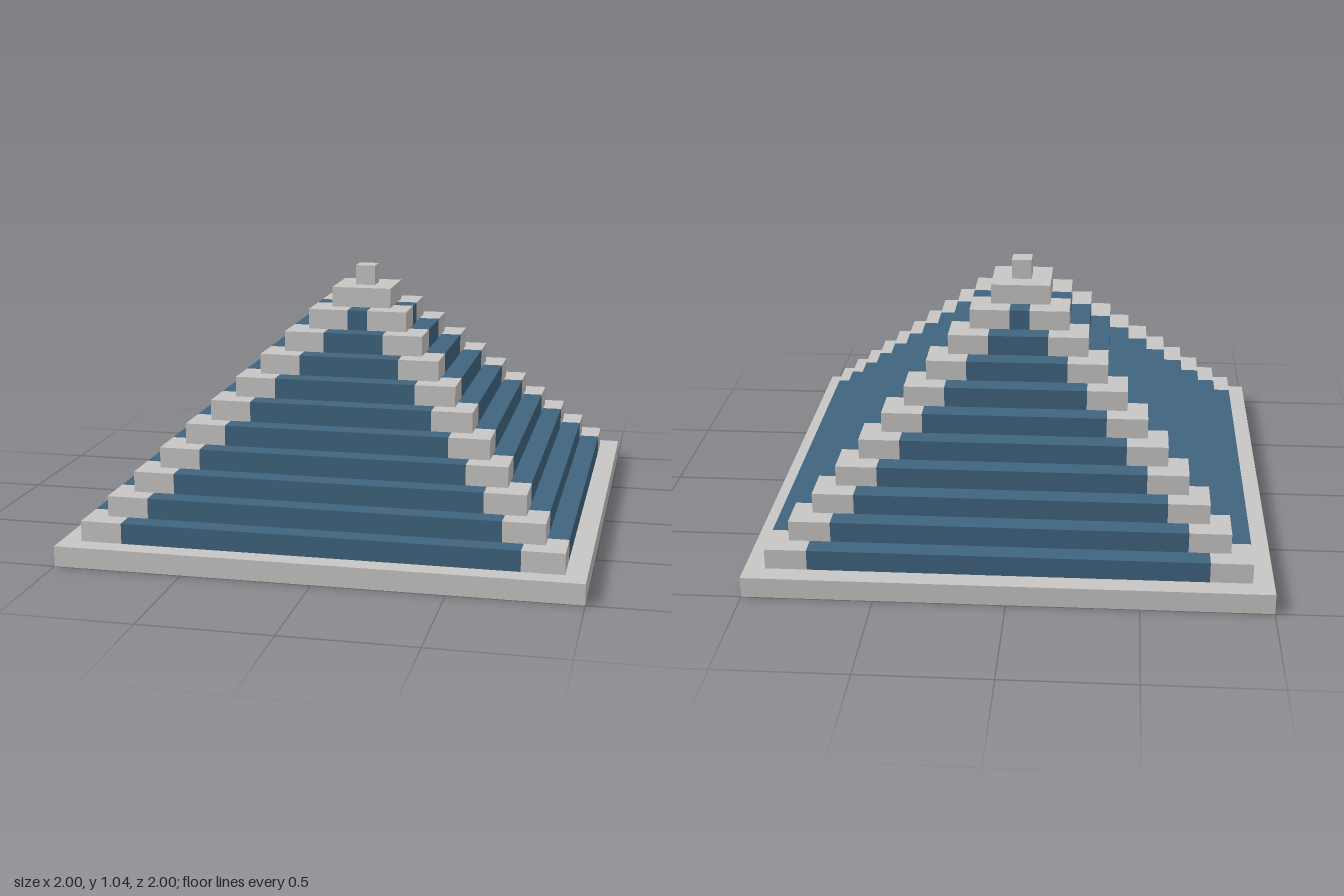
import * as THREE from 'three';

const U = 0.08;          // one block: step height and step depth
const LAYERS = 13;
const CORNER = 2 * U;    // width of the stone corner blocks

const stone = new THREE.MeshStandardMaterial({ color: 0xc8c6c4 });
stone.name = 'pale stone';
const tile = new THREE.MeshStandardMaterial({ color: 0x40647f });
tile.name = 'blue tile';

function box(name, w, d, x, z, material) {
  const mesh = new THREE.Mesh(new THREE.BoxGeometry(w, U, d), material);
  mesh.name = name;
  mesh.position.set(x, U / 2, z);
  return mesh;
}

export function createModel() {
  const model = new THREE.Group();
  model.name = 'steppedPyramid';

  for (let i = 0; i < LAYERS; i++) {
    const half = 1 - i * U;
    const layer = new THREE.Group();
    layer.position.y = i * U;
    model.add(layer);

    // Solid stone base slab, cap slab and finial
    if (i === 0 || i >= LAYERS - 2) {
      layer.name = i === 0 ? 'base' : i === LAYERS - 1 ? 'finial' : 'cap';
      layer.add(box(layer.name + 'Slab', 2 * half, 2 * half, 0, 0, stone));
      continue;
    }

    // Roof step: a tile course and a corner block on each of four sides
    layer.name = 'roofStep' + i;
    const c = half - CORNER / 2;
    for (let k = 0; k < 4; k++) {
      const side = new THREE.Group();
      side.name = 'stepSide';
      side.rotation.y = k * Math.PI / 2;
      side.add(
        box('tileCourse', 2 * (half - CORNER), CORNER, 0, c, tile),
        box('cornerBlock', CORNER, CORNER, c, c, stone)
      );
      layer.add(side);
    }
  }
  return model;
}
